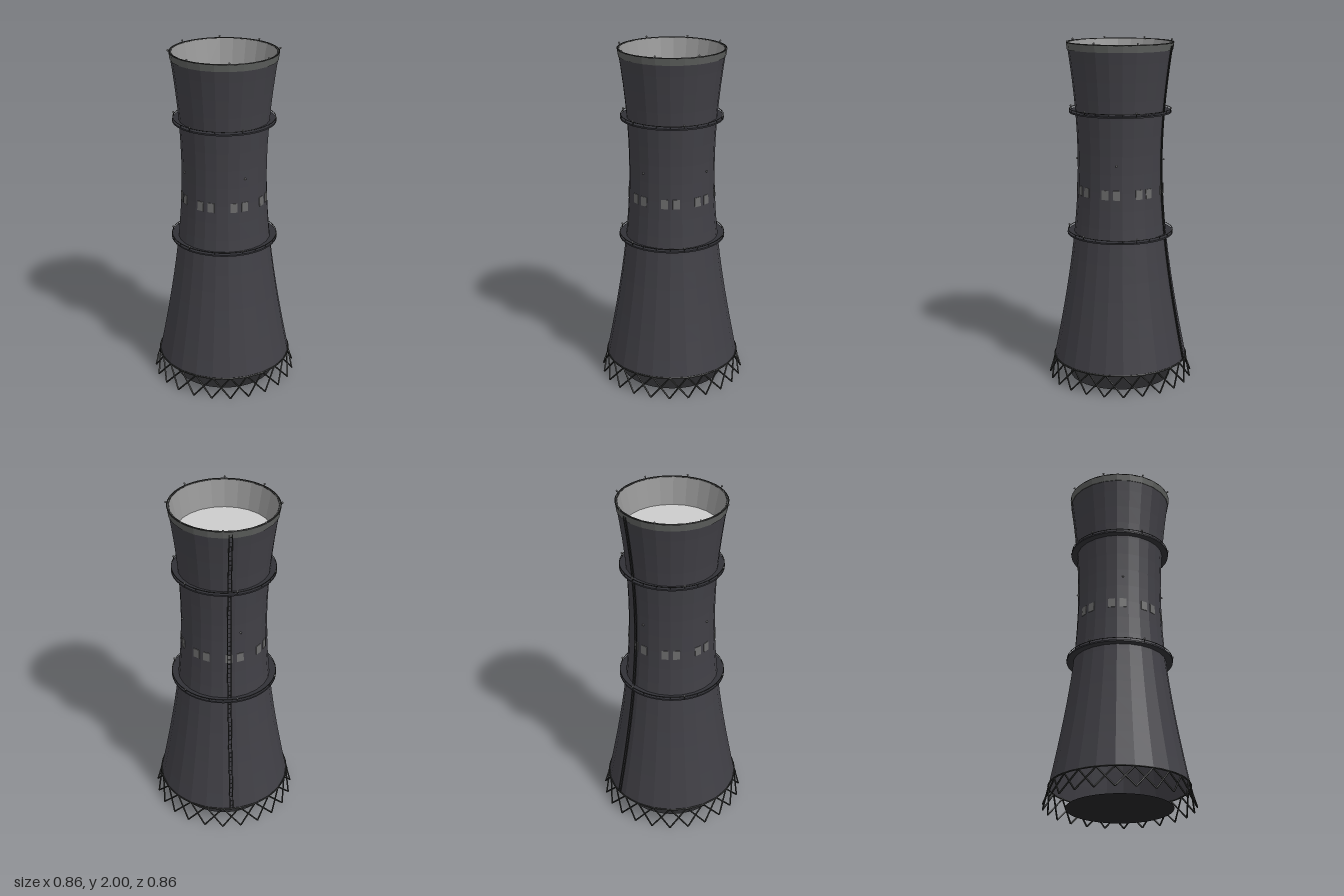
import * as THREE from 'three';

const SIDES = 24;
const STEP = (Math.PI * 2) / SIDES;
const BASE_Y = 0.12, TOP_Y = 1.985;

const paint = (name, color, options = {}) => {
  const m = new THREE.MeshStandardMaterial({ color, flatShading: true, ...options });
  m.name = name;
  return m;
};

// Hyperbolic tower radius at a height
const radiusAt = (y) => 0.247 * Math.sqrt(1 + ((y - 1.3) / 0.945) ** 2);
// Point on a circle; angle 0 faces the front, growing toward +x
const polar = (r, angle, y) => new THREE.Vector3(r * Math.sin(angle), y, r * Math.cos(angle));

export function createModel() {
  const model = new THREE.Group();
  model.name = 'coolingTower';

  const shellMat = paint('charcoal shell', 0x403f45, { side: THREE.DoubleSide });
  const rimMat = paint('grey rim', 0x5c5e5c);
  const linerMat = paint('pale liner', 0x969696, { side: THREE.DoubleSide });
  const steamMat = paint('light steam', 0xcccccc, { side: THREE.DoubleSide });
  const steelMat = paint('dark steel', 0x2b2c2b);
  const galleryMat = paint('gallery grey', 0x313136);
  const windowMat = paint('window grey', 0x6a6a6a);
  const lampMat = paint('lamp grey', 0x8c8c8c);
  const basinMat = paint('basin black', 0x242426, { side: THREE.DoubleSide });

  const add = (parent, name, geometry, material) => {
    const mesh = new THREE.Mesh(geometry, material);
    mesh.name = name;
    parent.add(mesh);
    return mesh;
  };
  const group = (name) => {
    const g = new THREE.Group();
    g.name = name;
    model.add(g);
    return g;
  };
  const lathe = (pairs) =>
    new THREE.LatheGeometry(pairs.map(([r, y]) => new THREE.Vector2(r, y)), SIDES);
  // Straight bar between two points
  const bar = (parent, name, a, b, radius, material, sides = 5) => {
    const mesh = add(parent, name, new THREE.CylinderGeometry(radius, radius, a.distanceTo(b), sides), material);
    mesh.position.copy(a).add(b).multiplyScalar(0.5);
    mesh.quaternion.setFromUnitVectors(new THREE.Vector3(0, 1, 0), b.clone().sub(a).normalize());
    return mesh;
  };
  const hoop = (parent, name, radius, y, tube, material) => {
    const mesh = add(parent, name, new THREE.TorusGeometry(radius, tube, 5, 48), material);
    mesh.rotation.x = Math.PI / 2;
    mesh.position.y = y;
  };

  // Tower shell
  const profile = [];
  for (let i = 0; i <= 18; i++) {
    const y = BASE_Y + ((TOP_Y - BASE_Y) * i) / 18;
    profile.push([radiusAt(y), y]);
  }
  add(model, 'shell', lathe(profile), shellMat);

  // Rim band, inner liner and steam surface
  add(model, 'rimBand', lathe([
    [radiusAt(1.945) + 0.001, 1.945], [radiusAt(1.945) + 0.004, 1.945],
    [radiusAt(TOP_Y) + 0.003, TOP_Y], [radiusAt(TOP_Y) - 0.008, TOP_Y],
  ]), rimMat);
  hoop(model, 'rimEdge', radiusAt(TOP_Y) - 0.001, TOP_Y, 0.004, steelMat);
  add(model, 'innerLiner', lathe([[0.264, 1.83], [0.296, TOP_Y]]), linerMat);
  const steam = add(model, 'steamSurface', new THREE.CircleGeometry(0.268, SIDES), steamMat);
  steam.rotation.x = -Math.PI / 2;
  steam.position.y = 1.83;

  // Basin floor
  const basin = add(model, 'basinFloor', new THREE.CircleGeometry(0.3, 48), basinMat);
  basin.rotation.x = -Math.PI / 2;
  basin.position.y = 0.002;

  // Crossed support legs
  const legs = group('supportLegs');
  for (let i = 0; i < SIDES; i++) {
    for (const side of [-1, 1]) {
      bar(legs, 'leg', polar(0.425, i * STEP, 0.005), polar(0.392, (i + side) * STEP, BASE_Y + 0.003), 0.005, steelMat);
    }
  }
  hoop(legs, 'baseRing', radiusAt(BASE_Y), BASE_Y + 0.003, 0.005, steelMat);

  const lampGeometry = new THREE.SphereGeometry(0.006, 8, 6);
  const lamp = (parent, position) => add(parent, 'lamp', lampGeometry, lampMat).position.copy(position);

  // Walkway galleries with handrails and lamps
  for (const [y, outer] of [[0.88, 0.31], [1.592, 0.295]]) {
    const gallery = group('gallery');
    const inner = radiusAt(y) - 0.005;
    const deck = [[inner, y - 0.005], [outer, y - 0.005], [outer, y + 0.004], [inner, y + 0.004]];
    add(gallery, 'deck', new THREE.LatheGeometry(deck.map(([r, h]) => new THREE.Vector2(r, h)), 48), galleryMat);
    hoop(gallery, 'handrail', outer - 0.003, y + 0.017, 0.002, steelMat);
    for (let i = 0; i < SIDES; i++) {
      bar(gallery, 'railPost', polar(outer - 0.003, i * STEP, y), polar(outer - 0.003, i * STEP, y + 0.017), 0.0012, steelMat, 4);
    }
    for (let i = 0; i < 6; i++) {
      const angle = Math.PI / 2 + (i * Math.PI) / 3;
      bar(gallery, 'lampPost', polar(outer, angle, y), polar(outer, angle, y + 0.024), 0.002, steelMat, 4);
      lamp(gallery, polar(outer, angle, y + 0.024));
    }
  }

  // Warning lamps on the rim and at the waist
  const lamps = group('warningLamps');
  for (let i = 0; i < 8; i++) {
    const angle = (i * Math.PI) / 4;
    bar(lamps, 'lampBracket', polar(0.302, angle, 1.98), polar(0.312, angle, 1.994), 0.002, steelMat, 4);
    lamp(lamps, polar(0.312, angle, 1.994));
  }
  for (let i = 0; i < 4; i++) lamp(lamps, polar(0.253, Math.PI * (3 / 8 + i / 2), 1.313));

  // Paired windows: two facets out of every three
  const windows = group('windows');
  for (let i = 0; i < SIDES; i++) {
    if (i % 3 === 2) continue;
    const angle = (i + 0.5) * STEP;
    const pane = add(windows, 'window', new THREE.BoxGeometry(0.04, 0.054, 0.008), windowMat);
    pane.position.copy(polar(0.2482, angle, 1.145));
    pane.rotation.set(-0.044, angle, 0, 'YXZ');
  }

  // Ladder following the shell at the back
  const ladder = group('ladder');
  const ladderAngle = 9.5 * STEP;
  const across = polar(0.009, ladderAngle + Math.PI / 2, 0);
  const ladderPoint = (y, side) => polar(radiusAt(y) + 0.004, ladderAngle, y).addScaledVector(across, side);
  for (const side of [-1, 1]) {
    const points = [];
    for (let i = 0; i <= 16; i++) points.push(ladderPoint(BASE_Y + 0.01 + i * 0.115, side));
    add(ladder, 'ladderRail', new THREE.TubeGeometry(new THREE.CatmullRomCurve3(points), 32, 0.003, 5), steelMat);
  }
  for (let y = 0.15; y < 1.96; y += 0.03) {
    bar(ladder, 'rung', ladderPoint(y, -1), ladderPoint(y, 1), 0.002, steelMat, 4);
  }

  return model;
}
